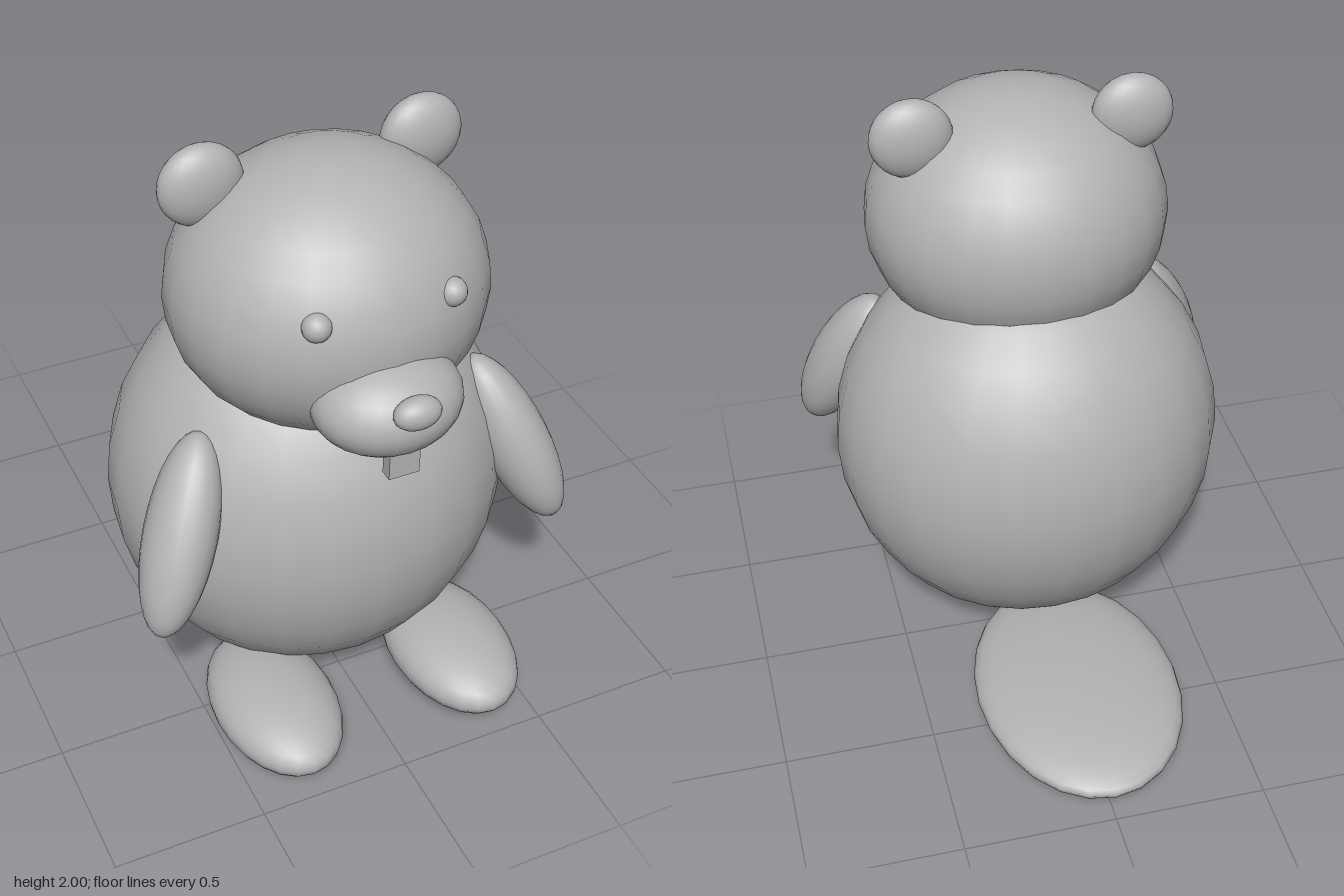
import * as THREE from 'three';

export function createModel() {
  const model = new THREE.Group();
  model.name = 'beaver';
  const grey = new THREE.MeshStandardMaterial({ color: 0xb3b3b3 });
  grey.name = 'plain grey';

  const add = (name, geometry, position) => {
    const mesh = new THREE.Mesh(geometry, grey);
    mesh.name = name;
    mesh.position.set(...position);
    model.add(mesh);
    return mesh;
  };
  // Smooth ellipsoid given by its three radii
  const blob = (name, radii, position, w = 24, h = 16) =>
    add(name, new THREE.SphereGeometry(1, w, h).scale(...radii), position);

  // Body, head and face
  blob('body', [0.665, 0.715, 0.6], [0, 0.715, 0.22]);
  blob('head', [0.505, 0.445, 0.47], [0, 1.5, 0.35]);
  blob('muzzle', [0.235, 0.155, 0.205], [0, 1.345, 0.76]);
  blob('nose', [0.075, 0.052, 0.048], [0, 1.422, 0.952]);

  // Flat paddle tail
  blob('tail', [0.342, 0.093, 0.5], [0, 0.112, -0.5]);

  // Paired parts
  const up = new THREE.Vector3(0, 1, 0);
  for (const [side, s] of [['left', 1], ['right', -1]]) {
    blob(side + 'Ear', [0.135, 0.134, 0.07], [s * 0.358, 1.866, 0.243]);
    blob(side + 'Eye', [0.045, 0.045, 0.045], [s * 0.215, 1.639, 0.735], 16, 12);
    blob(side + 'Foot', [0.2, 0.115, 0.32], [s * 0.323, 0.122, 0.68]);
    add(side + 'Tooth', new THREE.BoxGeometry(0.05, 0.1, 0.042), [s * 0.025, 1.195, 0.873]);

    // Arm hangs outward and forward from the shoulder
    const arm = blob(side + 'Arm', [0.113, 0.33, 0.13], [s * 0.58, 0.85, 0.558]);
    const axis = new THREE.Vector3(-s * 0.356, 0.876, -0.32).normalize();
    arm.quaternion.setFromUnitVectors(up, axis);
  }
  return model;
}
